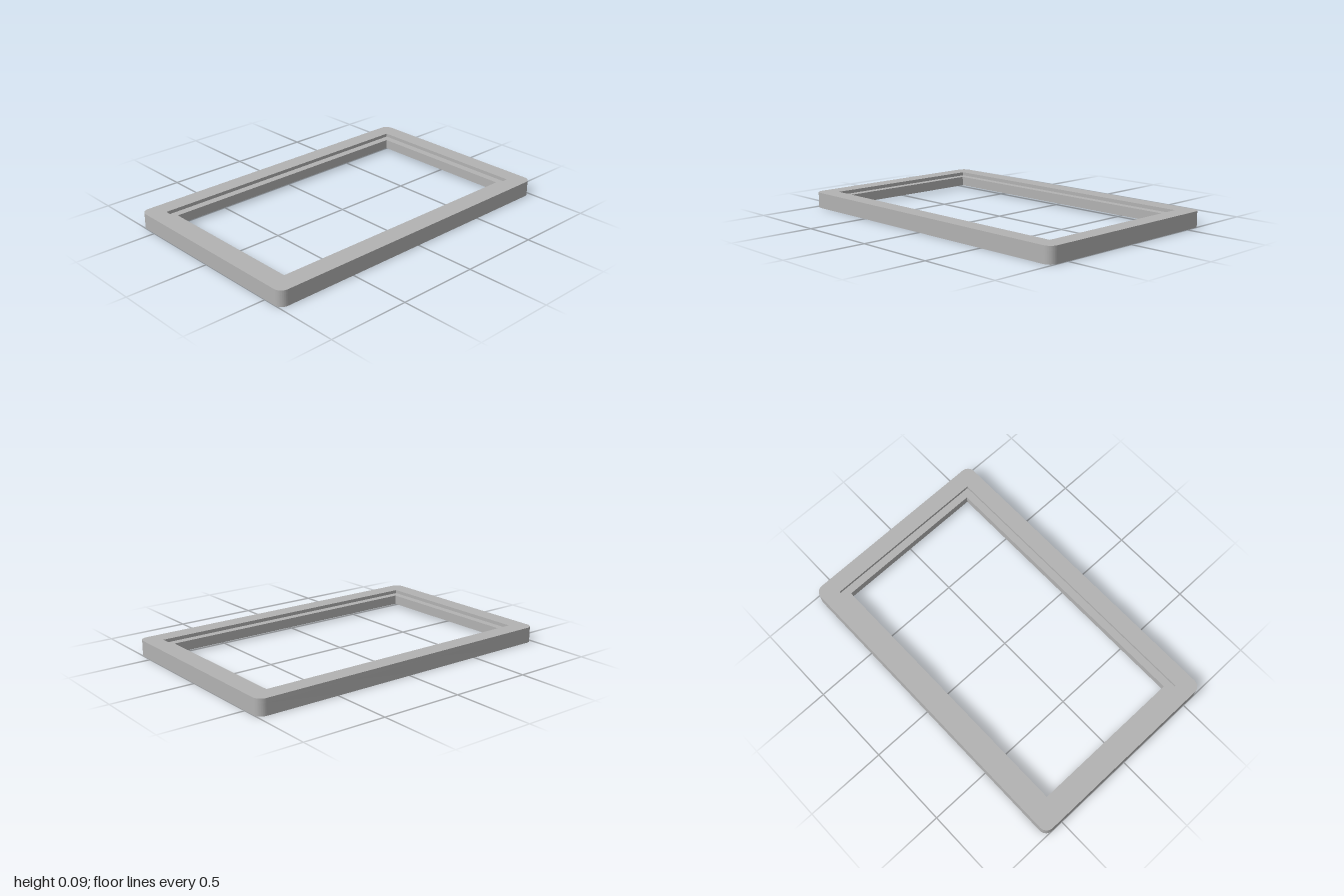
import * as THREE from 'three';
import { toCreasedNormals } from 'three/addons/utils/BufferGeometryUtils.js';

const HALF_X = 1, HALF_Z = 0.625, CORNER = 0.05;

// Rectangle outline inset from the outer edge, with corners rounded while the inset allows
function outline(path, inset) {
  const x = HALF_X - inset, z = HALF_Z - inset, r = Math.max(CORNER - inset, 0);
  if (r === 0) {
    path.moveTo(-x, -z).lineTo(x, -z).lineTo(x, z).lineTo(-x, z).closePath();
    return path;
  }
  path.moveTo(-x + r, -z);
  path.lineTo(x - r, -z);
  path.absarc(x - r, -z + r, r, -Math.PI / 2, 0);
  path.lineTo(x, z - r);
  path.absarc(x - r, z - r, r, 0, Math.PI / 2);
  path.lineTo(-x + r, z);
  path.absarc(-x + r, z - r, r, Math.PI / 2, Math.PI);
  path.lineTo(-x, -z + r);
  path.absarc(-x + r, -z + r, r, Math.PI, Math.PI * 1.5);
  return path;
}

// Closed frame between two insets and two heights
function frame(name, insetOut, insetIn, y0, y1, material) {
  const shape = outline(new THREE.Shape(), insetOut);
  shape.holes.push(outline(new THREE.Path(), insetIn));
  const geo = new THREE.ExtrudeGeometry(shape, { depth: y1 - y0, bevelEnabled: false, curveSegments: 8 });
  geo.rotateX(-Math.PI / 2);
  geo.translate(0, y0, 0);
  const mesh = new THREE.Mesh(toCreasedNormals(geo, 0.6), material);
  mesh.name = name;
  return mesh;
}

export function createModel() {
  const group = new THREE.Group();
  group.name = 'bezelFrame';
  const grey = new THREE.MeshStandardMaterial({ color: 0xb2b2b2 });
  grey.name = 'grey';

  // Top face, outer skirt, underside body and the lower lip around the opening
  group.add(
    frame('topPlate', 0, 0.104, 0.07, 0.095, grey),
    frame('outerSkirt', 0, 0.02, 0, 0.07, grey),
    frame('undersideBody', 0.02, 0.07, 0.03, 0.07, grey),
    frame('openingLip', 0.104, 0.15, 0.016, 0.074, grey),
  );

  // Small ribs bridging the groove beneath
  const rib = (x, z, w, d) => {
    const mesh = new THREE.Mesh(new THREE.BoxGeometry(w, 0.04, d), grey);
    mesh.position.set(x, 0.05, z);
    mesh.name = 'grooveRib';
    group.add(mesh);
  };
  for (const side of [-1, 1]) {
    for (let i = -3; i <= 3; i++) rib(i * 0.26, side * (HALF_Z - 0.087), 0.01, 0.034);
    for (let i = -1; i <= 1; i++) rib(side * (HALF_X - 0.087), i * 0.28, 0.034, 0.01);
  }
  return group;
}
